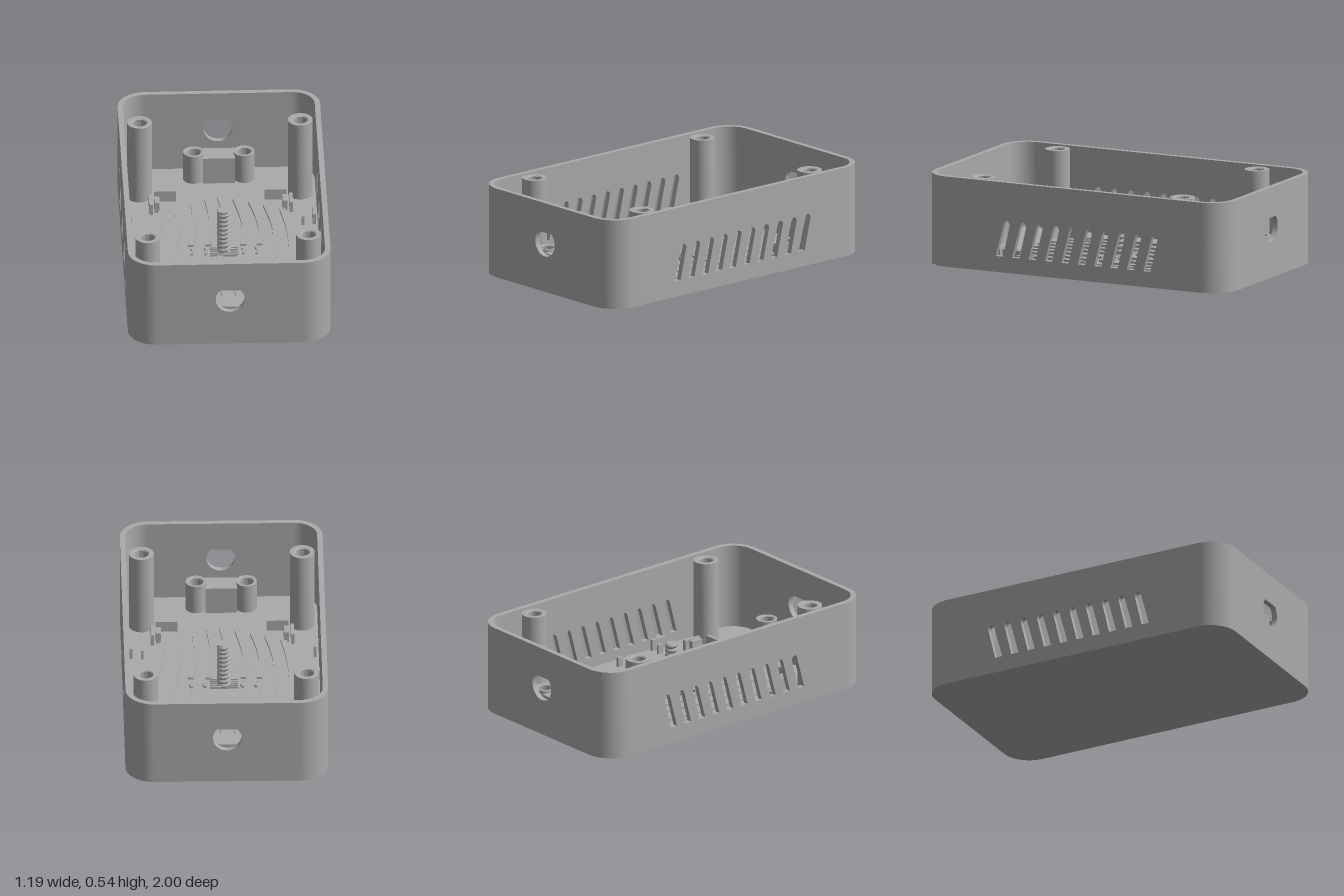
import * as THREE from 'three';
import { toCreasedNormals } from 'three/addons/utils/BufferGeometryUtils.js';

const W = 0.595, D = 1, H = 0.54, T = 0.032, R = 0.165; // half width, half depth, height, wall, corner radius
const FLOOR = 0.032;
const grey = new THREE.MeshStandardMaterial({ color: 0xaaaaaa });
grey.name = 'grey plastic';

const V = (x, y) => new THREE.Vector2(x, y);
const both = [-1, 1];

export function createModel() {
  const model = new THREE.Group();
  model.name = 'enclosureBase';

  function add(name, geometry, x = 0, y = 0, z = 0) {
    const mesh = new THREE.Mesh(geometry, grey);
    mesh.name = name;
    mesh.position.set(x, y, z);
    model.add(mesh);
    return mesh;
  }
  const extrude = (shape, depth) =>
    toCreasedNormals(new THREE.ExtrudeGeometry(shape, { depth, bevelEnabled: false, curveSegments: 16 }), 0.5);
  // Plan shape drawn in (x, -z), raised along y
  const raise = (shape, height) => extrude(shape, height).rotateX(-Math.PI / 2);
  const box = (name, x0, x1, z0, z1, top) =>
    add(name, new THREE.BoxGeometry(x1 - x0, top - FLOOR, z1 - z0), (x0 + x1) / 2, (top + FLOOR) / 2, (z0 + z1) / 2);
  const panel = (half) => new THREE.Shape([V(-half, 0), V(half, 0), V(half, H), V(-half, H)]);

  // Floor with rounded corners
  const cx = W - R, cz = D - R, r = R - T;
  const floor = new THREE.Shape();
  floor.absarc(cx, cz, r, 0, Math.PI / 2);
  floor.absarc(-cx, cz, r, Math.PI / 2, Math.PI);
  floor.absarc(-cx, -cz, r, Math.PI, Math.PI * 1.5);
  floor.absarc(cx, -cz, r, Math.PI * 1.5, Math.PI * 2);
  add('floor', raise(floor, FLOOR));

  // Rounded wall corners
  const corner = new THREE.Shape();
  corner.absarc(0, 0, R, 0, Math.PI / 2, false);
  corner.absarc(0, 0, r, Math.PI / 2, 0, true);
  const cornerGeometry = raise(corner, H);
  [[1, -1], [-1, -1], [-1, 1], [1, 1]].forEach(([sx, sz], i) => {
    add('wallCorner', cornerGeometry, sx * cx, 0, sz * cz).rotation.y = i * Math.PI / 2;
  });

  // End walls with teardrop cable holes
  const endWall = panel(cx);
  const tear = new THREE.Path();
  tear.moveTo(0, 0.42);
  tear.absarc(0, 0.3, 0.085, Math.PI * 0.75, Math.PI * 2.25, false);
  tear.closePath();
  endWall.holes.push(tear);
  const endGeometry = extrude(endWall, T);
  add('frontWall', endGeometry, 0, 0, D - T);
  add('backWall', endGeometry, 0, 0, -D);

  // Side walls with ten slanted vent slots
  const sideWall = panel(cz);
  for (let i = 0; i < 10; i++) {
    const u = -0.488 + i * 0.1085;
    sideWall.holes.push(new THREE.Path([
      V(u - 0.024, 0.095), V(u + 0.024, 0.095), V(u + 0.07, 0.287),
      V(u + 0.064, 0.303), V(u + 0.05, 0.312), V(u + 0.036, 0.305), V(u + 0.028, 0.288),
    ]));
  }
  const sideGeometry = extrude(sideWall, T).rotateY(Math.PI / 2);
  add('leftWall', sideGeometry, W - T);
  add('rightWall', sideGeometry, -W);

  // Hollow screw posts
  const post = (name, radius, bore, top, bottom, x, z) => {
    const profile = [
      V(radius, FLOOR), V(radius, top), V(bore + 0.006, top), V(bore, top - 0.006), V(bore, bottom), V(0, bottom),
    ];
    add(name, toCreasedNormals(new THREE.LatheGeometry(profile, 32), 0.5), x, 0, z);
  };
  for (const sz of both) {
    for (const sx of both) {
      post('cornerPost', 0.073, 0.04, 0.535, 0.35, sx * 0.472, sz * 0.66);
      post('clampPost', 0.062, 0.04, 0.215, 0.07, sx * 0.148, sz * 0.852);
    }
    // Cable clamp block between its two posts
    box('clampBlock', -0.093, 0.093, sz * 0.853 - 0.061, sz * 0.853 + 0.061, 0.2);
  }

  // Board locating tabs, mirrored into all four quarters
  const tabs = [ // centre x, centre z, width, depth
    [0.325, 0.602, 0.13, 0.02],
    [0.412, 0.5, 0.02, 0.115],
    [0.376, 0.502, 0.03, 0.075],
    [0.541, 0.352, 0.018, 0.105],
  ];
  for (const [x, z, w, d] of tabs)
    for (const sx of both)
      for (const sz of both)
        box('boardTab', sx * x - w / 2, sx * x + w / 2, sz * z - d / 2, sz * z + d / 2, 0.1);
  for (const z of [-0.31, 0, 0.31]) box('smallTab', 0.466, 0.482, z - 0.018, z + 0.018, 0.09);

  // Wavy ribs on the floor
  const rib = (points, w = 0.018) => {
    const line = new THREE.SplineCurve(points.map(([x, z]) => V(x, -z))).getPoints(16);
    const outline = [
      ...line.map((p) => V(p.x - w, p.y)),
      ...line.slice().reverse().map((p) => V(p.x + w, p.y)),
    ];
    return raise(new THREE.Shape(outline), 0.014);
  };
  const ribs = [
    [[-0.16, -0.55], [-0.155, -0.38], [-0.175, -0.22], [-0.195, -0.065]],
    [[-0.075, -0.585], [-0.06, -0.4], [-0.075, -0.22], [-0.09, -0.065]],
    [[0, -0.615], [0.03, -0.38], [0.038, -0.22], [0.025, -0.065]],
    [[0.09, -0.585], [0.125, -0.38], [0.132, -0.22], [0.115, -0.065]],
    [[0.18, -0.55], [0.215, -0.38], [0.228, -0.22], [0.21, -0.065]],
    [[0.265, -0.52], [0.31, -0.25], [0.298, 0], [0.262, 0.25], [0.25, 0.51]],
    [[0.36, -0.47], [0.395, -0.2], [0.395, 0.1], [0.35, 0.47]],
  ];
  for (const points of ribs) {
    const geometry = rib(points);
    for (const turn of [0, Math.PI]) add('floorRib', geometry, 0, FLOOR, 0).rotation.y = turn;
  }
  for (const x of [-0.19, -0.11, 0.11, 0.19])
    add('ribFragment', rib([[x, -0.03], [x + 0.008, 0], [x, 0.035]], 0.007), 0, FLOOR, 0);
  for (let i = 0; i < 5; i++) {
    const z = -0.035 + i * 0.021;
    box('screwBaseRib', -0.083, 0.083, z - 0.004, z + 0.004, FLOOR + 0.014);
  }

  // Central threaded stud: cylinder whose radius follows a helix
  const studHeight = 0.32 - FLOOR, pitch = 0.029;
  const stud = new THREE.CylinderGeometry(1, 1, studHeight, 32, 120);
  const pos = stud.attributes.position;
  for (let i = 0; i < pos.count; i++) {
    const x = pos.getX(i), y = pos.getY(i), z = pos.getZ(i);
    const turn = y / pitch - Math.atan2(x, z) / (Math.PI * 2);
    const wave = Math.abs((turn - Math.floor(turn)) * 2 - 1);
    const radius = 0.032 + 0.01 * Math.min(1, wave * 1.3);
    pos.setX(i, x * radius);
    pos.setZ(i, z * radius);
  }
  add('threadedStud', toCreasedNormals(stud, 0.7), 0, FLOOR + studHeight / 2, 0);

  return model;
}
